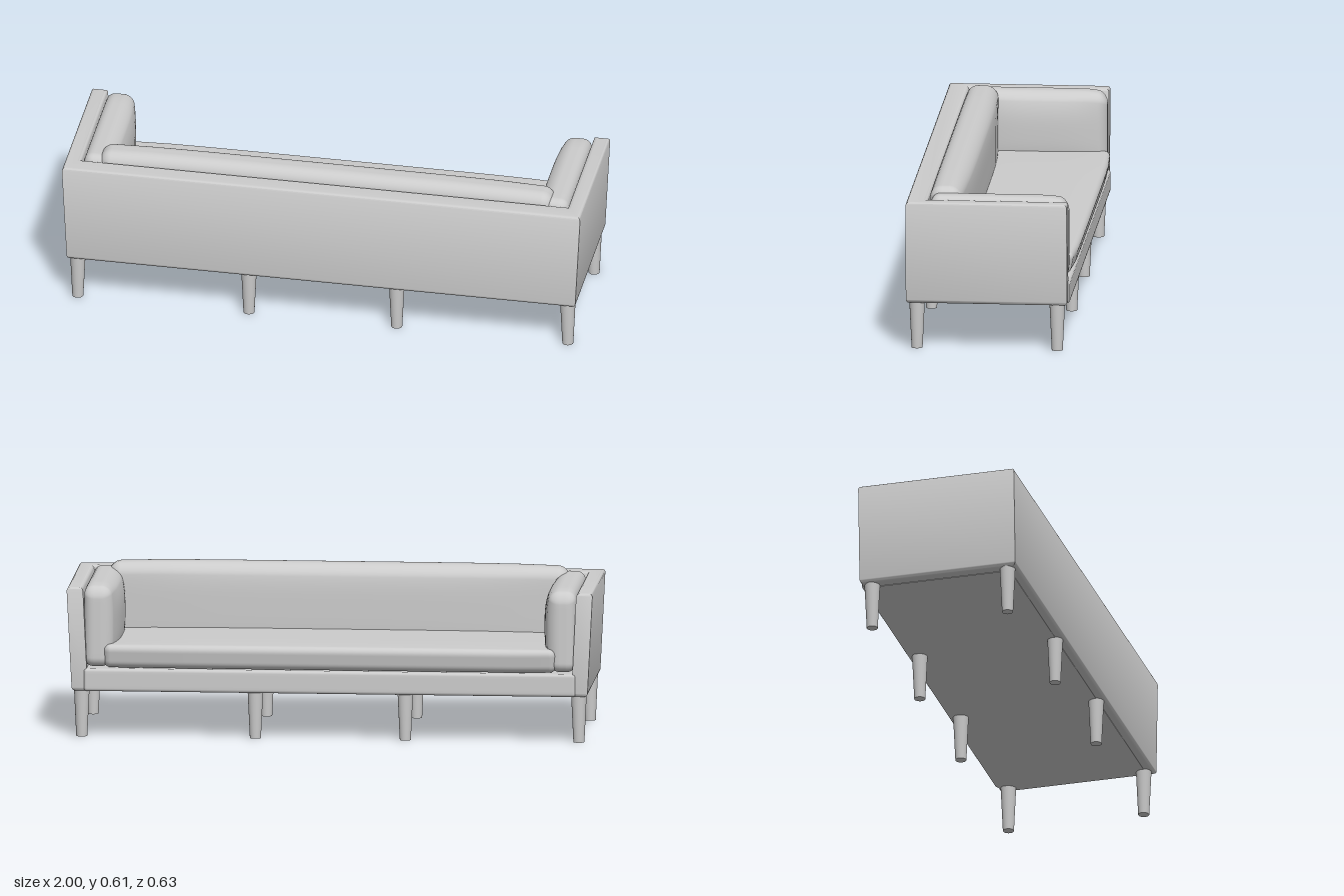
import * as THREE from 'three';
import { mergeVertices, toCreasedNormals } from 'three/addons/utils/BufferGeometryUtils.js';

const material = new THREE.MeshStandardMaterial({ color: 0xcccccc });

function add(group, name, geometry, x = 0, y = 0, z = 0) {
  const mesh = new THREE.Mesh(geometry, material);
  mesh.name = name;
  mesh.position.set(x, y, z);
  group.add(mesh);
  return mesh;
}

// Smooth rounded block; bulge(p, u) may push each point, u being its place in -1..1
function softBlock(size, radius, bulge, n = 20) {
  const half = size.map((s) => s / 2);
  const geometry = new THREE.BoxGeometry(2, 2, 2, n, n, n);
  geometry.deleteAttribute('uv');
  geometry.deleteAttribute('normal');
  const pos = geometry.attributes.position;
  const p = new THREE.Vector3();
  for (let i = 0; i < pos.count; i++) {
    const raw = [pos.getX(i), pos.getY(i), pos.getZ(i)];
    const inner = [], dir = new THREE.Vector3();
    raw.forEach((v, k) => {
      const a = Math.abs(v), s = Math.sign(v), flat = half[k] - radius;
      inner[k] = s * flat * Math.min(a / 0.6, 1);
      dir.setComponent(k, s * Math.tan(Math.max(0, (a - 0.6) / 0.4) * Math.PI / 4));
    });
    p.fromArray(inner).addScaledVector(dir.normalize(), radius);
    if (bulge) bulge(p, [p.x / half[0], p.y / half[1], p.z / half[2]]);
    pos.setXYZ(i, p.x, p.y, p.z);
  }
  const merged = mergeVertices(geometry, 1e-5);
  merged.computeVertexNormals();
  return merged;
}

const dome = (a, b, power = 4) => (1 - Math.abs(a) ** power) * (1 - Math.abs(b) ** power);

// U-shaped shell: back and both arms in one piece, narrowing towards the bottom
function shellGeometry() {
  const bevel = 0.014, bottom = 0.178, height = 0.397;
  const xo = 1 - bevel, xi = 0.938 + bevel;
  const back = -0.318 + bevel, backInner = -0.238 - bevel, front = 0.295 - bevel;
  const shape = new THREE.Shape([
    [-xo, back], [xo, back], [xo, front], [xi, front],
    [xi, backInner], [-xi, backInner], [-xi, front], [-xo, front],
  ].map(([x, y]) => new THREE.Vector2(x, y)));
  const geometry = new THREE.ExtrudeGeometry(shape, {
    depth: height - 2 * bevel, bevelThickness: bevel, bevelSize: bevel, bevelSegments: 5,
  });
  geometry.rotateX(-Math.PI / 2).translate(0, bottom + bevel, 0);
  const pos = geometry.attributes.position;
  for (let i = 0; i < pos.count; i++) {
    pos.setX(i, pos.getX(i) * (0.98 + 0.02 * (pos.getY(i) - bottom) / height));
  }
  return toCreasedNormals(geometry, 0.6);
}

export function createModel() {
  const sofa = new THREE.Group();
  sofa.name = 'sofa';

  add(sofa, 'shell', shellGeometry());

  // Seat base with its front rail, and the thin cover underneath
  add(sofa, 'seatBase', softBlock([1.87, 0.087, 0.56], 0.012, null, 10), 0, 0.2215, -0.022);
  add(sofa, 'undersidePanel', new THREE.BoxGeometry(1.87, 0.01, 0.55), 0, 0.181, 0.01);

  // Seat cushion, with a crowned top and a front leaning out over the rail
  add(sofa, 'seatCushion', softBlock([1.72, 0.09, 0.52], 0.026, (p, u) => {
    if (u[1] > 0) p.y += 0.008 * dome(u[0], u[2]);
    if (u[2] < 0) p.z += u[2] * (0.012 * (1 - u[0] ** 8) + 0.009 * u[1]);
  }), 0, 0.312, -0.04);

  // Back cushion, plump towards the seat
  add(sofa, 'backCushion', softBlock([1.75, 0.335, 0.118], 0.045, (p, u) => {
    if (u[2] < 0) p.z += u[2] * 0.02 * dome(u[0], u[1]);
    if (u[1] > 0) p.y += u[1] * 0.008 * (1 - u[0] ** 6);
  }), 0, 0.435, 0.179);

  // Arm cushions, plump on the inner side, with a rounder top front corner
  for (const [side, name] of [[1, 'leftArmCushion'], [-1, 'rightArmCushion']]) {
    add(sofa, name, softBlock([0.1, 0.315, 0.525], 0.036, (p, u) => {
      if (u[0] * side < 0) p.x += u[0] * 0.032 * dome(u[1], u[2], 3);
      if (u[1] > 0 && u[2] < 0) p.y -= 0.022 * u[1] * Math.abs(u[2]) ** 10;
    }), side * 0.885, 0.4265, -0.032);
  }

  // Eight round tapered legs in two rows
  const leg = new THREE.CylinderGeometry(0.0295, 0.021, 0.182, 24);
  for (const [z, name] of [[-0.255, 'frontLeg'], [0.278, 'backLeg']]) {
    for (const x of [-0.945, -0.285, 0.285, 0.945]) add(sofa, name, leg, x, 0.091, z);
  }

  return sofa;
}
